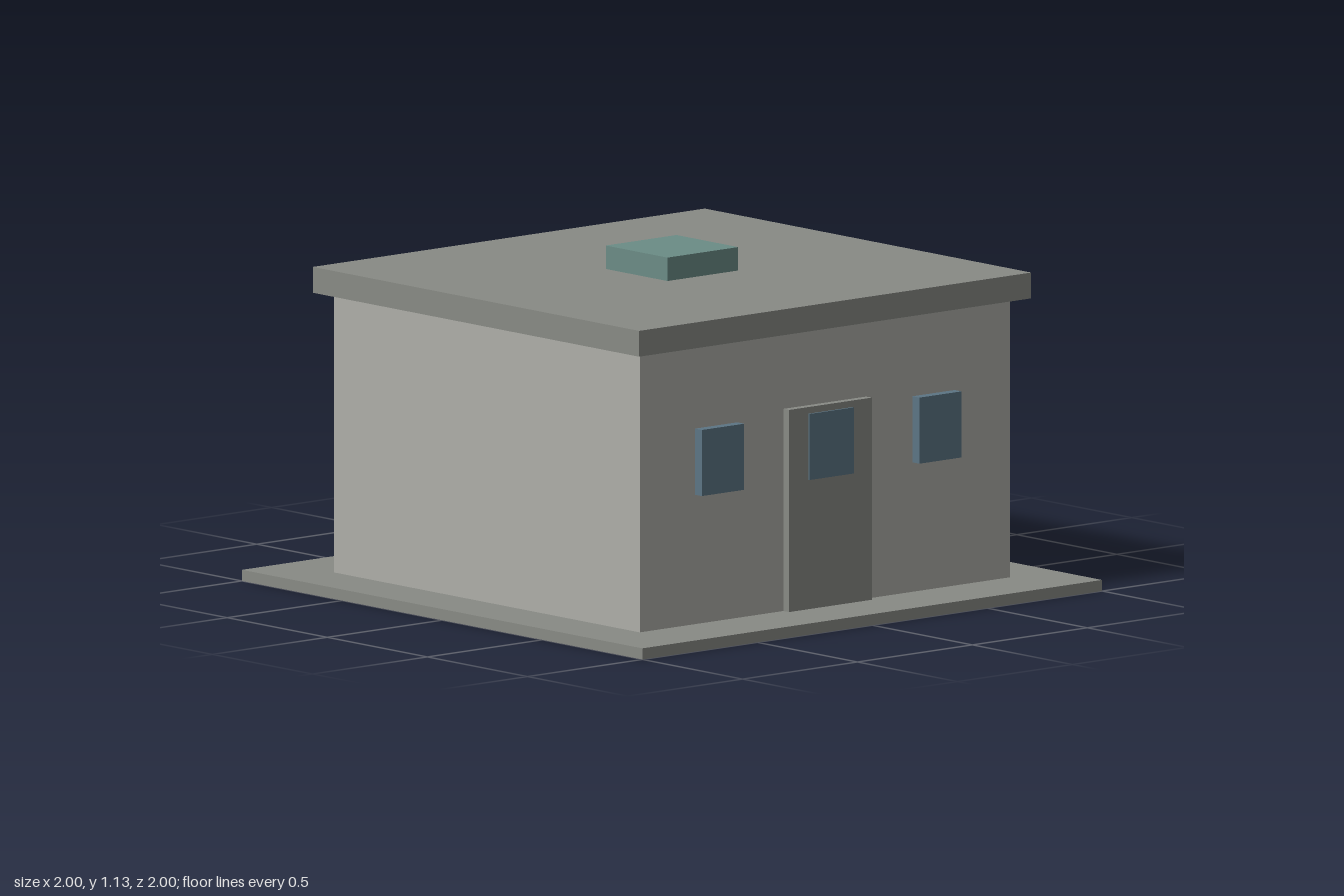
import * as THREE from 'three';

const paint = (name, color) => {
  const m = new THREE.MeshStandardMaterial({ color });
  m.name = name;
  return m;
};

export function createModel() {
  const house = new THREE.Group();
  house.name = 'house';

  const wall = paint('wall grey', 0xaeaea8);
  const trim = paint('concrete grey', 0x888a85);
  const glass = paint('window blue', 0x5c7584);
  const skylight = paint('skylight green', 0x6b8c86);

  // Box given by its ranges along x, y and z
  const box = (name, material, [x0, x1], [y0, y1], [z0, z1]) => {
    const mesh = new THREE.Mesh(new THREE.BoxGeometry(x1 - x0, y1 - y0, z1 - z0), material);
    mesh.position.set((x0 + x1) / 2, (y0 + y1) / 2, (z0 + z1) / 2);
    mesh.name = name;
    house.add(mesh);
  };

  // Ground slab, body, roof and skylight
  box('baseSlab', trim, [-1, 1], [0, 0.037], [-1, 1]);
  box('walls', wall, [-0.805, 0.805], [0.037, 0.967], [-0.763, 0.763]);
  box('roof', trim, [-0.853, 0.853], [0.967, 1.053], [-0.815, 0.815]);
  box('skylight', skylight, [-0.154, 0.154], [1.053, 1.131], [-0.154, 0.154]);

  // Door with its pane
  box('door', trim, [-0.18, 0.18], [0.037, 0.71], [0.763, 0.791]);
  box('doorPane', glass, [-0.096, 0.096], [0.468, 0.688], [0.791, 0.798]);

  // Windows on both sides of the door
  for (const [name, x] of [['leftWindow', 0.473], ['rightWindow', -0.473]]) {
    box(name, glass, [x - 0.092, x + 0.092], [0.468, 0.688], [0.763, 0.798]);
  }

  return house;
}
